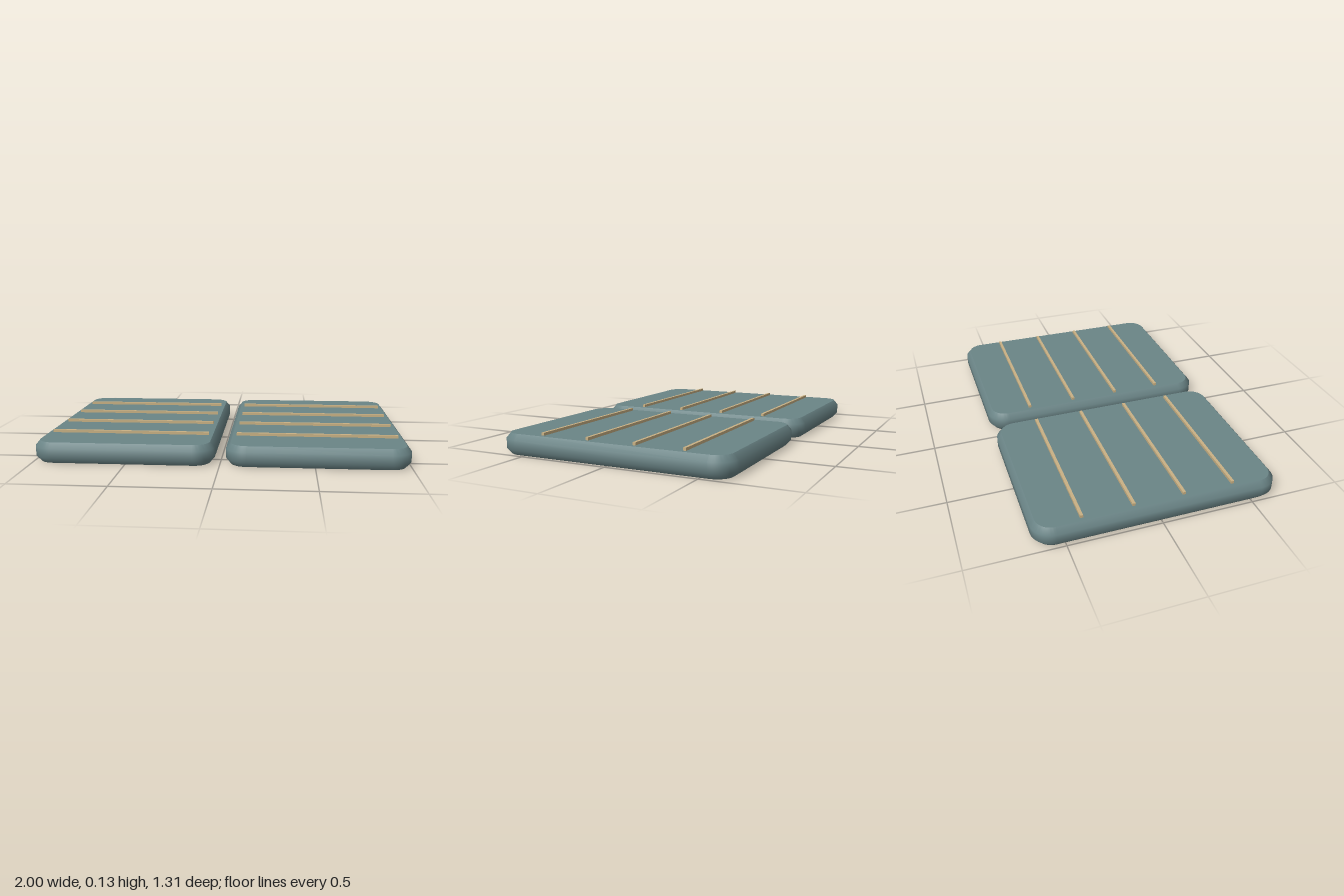
import * as THREE from 'three';
import { toCreasedNormals } from 'three/addons/utils/BufferGeometryUtils.js';

const W = 0.97, D = 1.31, H = 0.112, R = 0.11;
const INSET = 0.025, CHAMFER = 0.03;

// Rounded rectangle centred on the origin
function roundedRect(w, d, r) {
  const x = w / 2 - r, y = d / 2 - r;
  const s = new THREE.Shape();
  s.absarc(x, y, r, 0, Math.PI / 2);
  s.absarc(-x, y, r, Math.PI / 2, Math.PI);
  s.absarc(-x, -y, r, Math.PI, Math.PI * 1.5);
  s.absarc(x, -y, r, Math.PI * 1.5, Math.PI * 2);
  s.closePath();
  return s;
}

export function createModel() {
  const model = new THREE.Group();
  model.name = 'slattedPads';
  const padMaterial = new THREE.MeshStandardMaterial({ color: 0x6b8587 });
  padMaterial.name = 'greyTeal';
  const stripMaterial = new THREE.MeshStandardMaterial({ color: 0xc9b184 });
  stripMaterial.name = 'tan';

  // Chamfered slab: walls blend into the chamfers, flat caps stay crisp
  const slab = new THREE.ExtrudeGeometry(roundedRect(W, D, R), {
    depth: H - 2 * CHAMFER,
    bevelEnabled: true,
    bevelThickness: CHAMFER,
    bevelSize: INSET,
    bevelOffset: -INSET,
    bevelSegments: 1,
    curveSegments: 8,
  });
  slab.rotateX(-Math.PI / 2);
  slab.translate(0, CHAMFER, 0);
  const padGeometry = toCreasedNormals(slab, 0.8);
  const stripGeometry = new THREE.BoxGeometry(0.876, 0.022, 0.016);

  for (const side of [1, -1]) {
    const half = new THREE.Group();
    half.name = side > 0 ? 'leftHalf' : 'rightHalf';
    half.position.x = side * 0.515;

    const pad = new THREE.Mesh(padGeometry, padMaterial);
    pad.name = 'pad';
    half.add(pad);

    // Four raised strips across the top
    for (let i = 0; i < 4; i++) {
      const strip = new THREE.Mesh(stripGeometry, stripMaterial);
      strip.name = 'strip' + (i + 1);
      strip.position.set(0, 0.116, -0.41 + i * 0.269);
      half.add(strip);
    }
    model.add(half);
  }
  return model;
}
